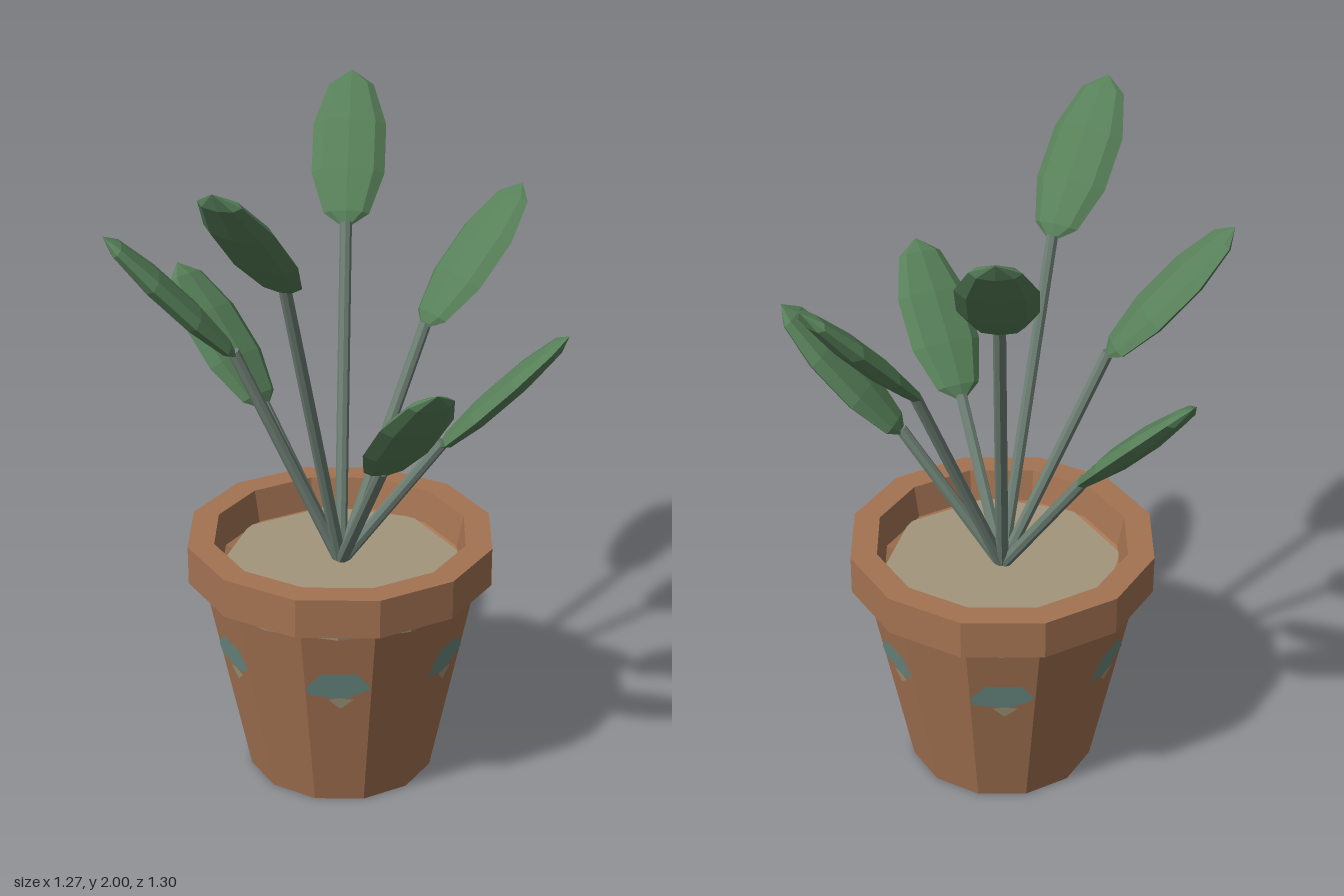
import * as THREE from 'three';

const CENTER_X = -0.035;

function makeMaterial(name, color, side = THREE.FrontSide) {
  const m = new THREE.MeshStandardMaterial({ color, side });
  m.name = name;
  return m;
}

// Faceted mesh: split the vertices so every face has its own normal
function facetedMesh(name, geometry, material) {
  const g = geometry.index ? geometry.toNonIndexed() : geometry;
  g.computeVertexNormals();
  const mesh = new THREE.Mesh(g, material);
  mesh.name = name;
  return mesh;
}

function polygon(points) {
  return new THREE.ShapeGeometry(new THREE.Shape(points.map(([x, y]) => new THREE.Vector2(x, y))));
}

export function createModel() {
  const terracotta = makeMaterial('terracotta', 0xa47352, THREE.DoubleSide);
  const soilColor = makeMaterial('soil', 0xa2967b);
  const stemColor = makeMaterial('stem green', 0x6e8075);
  const leafColor = makeMaterial('leaf green', 0x578059);
  const paint = makeMaterial('teal paint', 0x6c8c83);

  const model = new THREE.Group();
  model.name = 'pottedPlant';
  const plant = new THREE.Group();
  plant.name = 'plant';
  plant.position.x = CENTER_X;
  model.add(plant);

  // Twelve-sided pot, open underneath, with a thick rim and sloping inner wall
  const profile = [
    [0.285, 0], [0.415, 0.635], [0.465, 0.65], [0.465, 0.77],
    [0.385, 0.77], [0.365, 0.67], [0.32, 0.65],
  ].map(([r, y]) => new THREE.Vector2(r, y));
  plant.add(facetedMesh('pot', new THREE.LatheGeometry(profile, 12), terracotta));

  // Eight-sided soil surface
  const soil = facetedMesh('soil', new THREE.CylinderGeometry(0.363, 0.34, 0.02, 8), soilColor);
  soil.position.y = 0.665;
  soil.rotation.y = Math.PI / 8;
  plant.add(soil);

  // Lower soil layer, its corners just showing through the pot facets below the rim
  const soilLayer = facetedMesh('soilLayer', new THREE.CylinderGeometry(0.419, 0.417, 0.012, 12), soilColor);
  soilLayer.position.y = 0.629;
  soilLayer.rotation.y = Math.PI / 12;
  plant.add(soilLayer);

  // Painted patches on every second facet
  const patchShape = polygon([
    [-0.096, 0], [-0.085, -0.03], [-0.045, -0.033], [0.005, -0.045],
    [0.05, -0.028], [0.096, 0], [0.055, 0.053], [-0.05, 0.053],
  ]);
  const flakeShape = polygon([[-0.03, -0.042], [0.005, -0.078], [0.045, -0.042], [0.005, -0.036]]);
  const slope = (0.415 - 0.285) * Math.cos(Math.PI / 12) / 0.635;
  const patchY = 0.437;
  const apothem = 0.285 * Math.cos(Math.PI / 12) + slope * patchY;
  for (let i = 0; i < 6; i++) {
    const turn = new THREE.Group();
    turn.name = 'paintedPatch';
    turn.rotation.y = Math.PI / 12 + i * Math.PI / 3;
    const tilt = new THREE.Group();
    tilt.position.set(0, patchY, apothem);
    tilt.rotation.x = Math.atan(slope);
    const patch = facetedMesh('patch', patchShape, paint);
    patch.position.z = 0.003;
    const flake = facetedMesh('patchEdge', flakeShape, soilColor);
    flake.position.z = 0.005;
    tilt.add(patch, flake);
    turn.add(tilt);
    plant.add(turn);
  }

  // Seven stems fanning from the middle, each ending in a flat pointed leaf
  const leafGeometry = new THREE.SphereGeometry(1, 8, 5);
  leafGeometry.scale(0.115, 0.267, 0.036);
  const stemTops = [1.09, 1.09, 1.63, 1.36, 1.09, 1.63, 1.36];
  const up = new THREE.Vector3(0, 1, 0);
  stemTops.forEach((topY, i) => {
    // Each branch is built in its own plane, leaning toward +z
    const branch = new THREE.Group();
    branch.name = 'branch';
    branch.rotation.y = Math.PI / 2 - i * Math.PI * 2 / 7;

    const base = new THREE.Vector3(0, 0.665, 0);
    const top = new THREE.Vector3(0, topY + 0.005, 0.31);
    const along = top.clone().sub(base);
    const stem = facetedMesh('stem', new THREE.CylinderGeometry(0.018, 0.019, along.length(), 8), stemColor);
    stem.position.copy(base).addScaledVector(along, 0.5);
    stem.quaternion.setFromUnitVectors(up, along.normalize());

    const leaf = facetedMesh('leaf', leafGeometry, leafColor);
    leaf.position.set(0, topY + 0.179, 0.482);
    leaf.rotation.x = THREE.MathUtils.degToRad(43.8);
    branch.add(stem, leaf);
    plant.add(branch);
  });

  return model;
}
